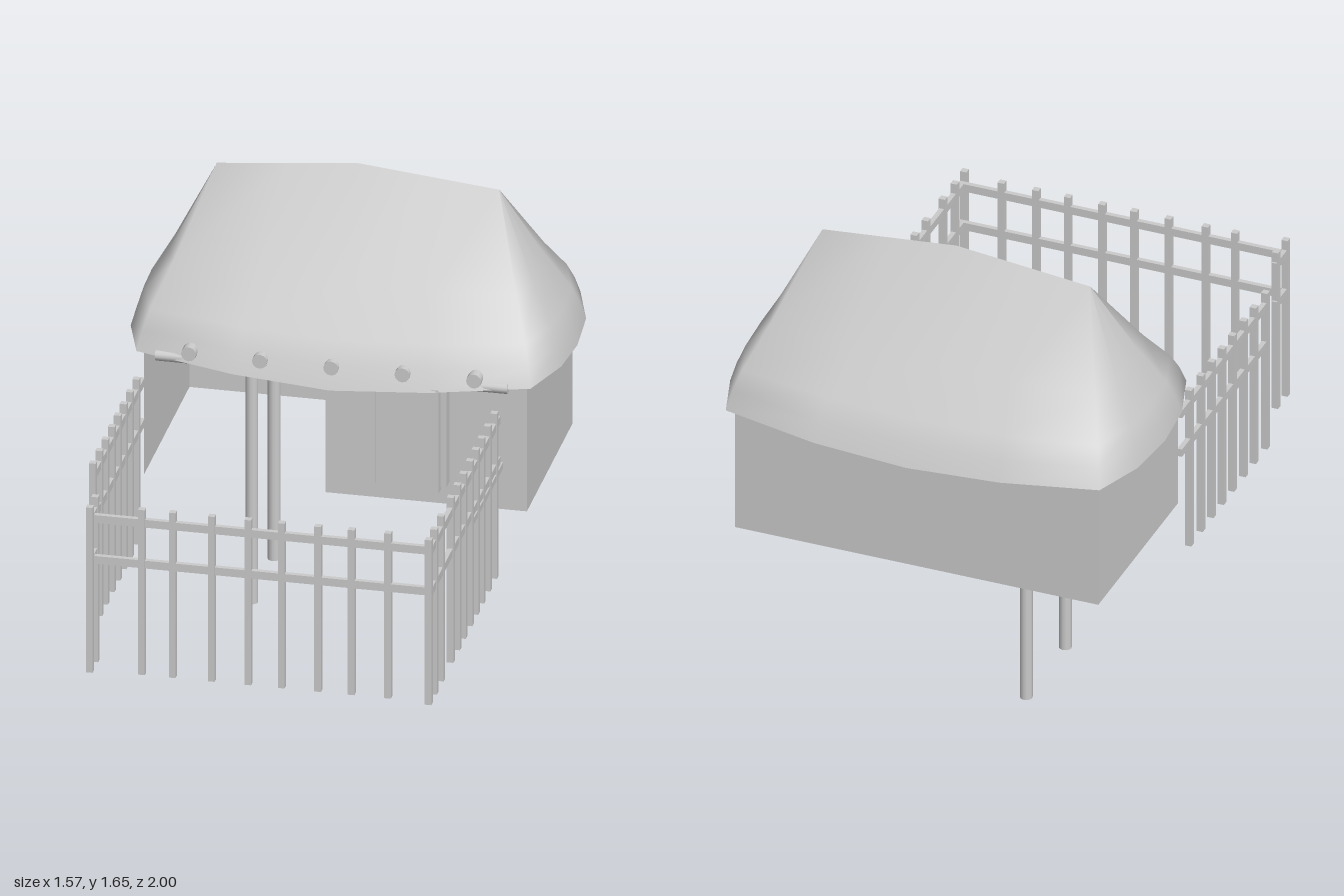
import * as THREE from 'three';

const grey = new THREE.MeshStandardMaterial({ color: 0xcccccc });
const thin = new THREE.MeshStandardMaterial({ color: 0xcccccc, side: THREE.DoubleSide });

function add(parent, name, geometry, x, y, z, material = grey) {
  const mesh = new THREE.Mesh(geometry, material);
  mesh.name = name;
  mesh.position.set(x, y, z);
  parent.add(mesh);
  return mesh;
}

// Box given by its two extreme corners
function block(parent, name, [x0, x1], [y0, y1], [z0, z1]) {
  return add(parent, name, new THREE.BoxGeometry(x1 - x0, y1 - y0, z1 - z0),
    (x0 + x1) / 2, (y0 + y1) / 2, (z0 + z1) / 2);
}

// Eave outline on the +x side, front middle to back middle: x, y, z
const halfEave = [
  [0, 0.99, -0.065], [0.35, 1.01, -0.08], [0.705, 1.04, -0.13], [0.77, 1.04, -0.33],
  [0.785, 1.035, -0.52], [0.77, 1.04, -0.73], [0.705, 1.045, -0.93], [0.35, 1.025, -0.985], [0, 1.01, -0.995],
];
const eave = [...halfEave, ...halfEave.slice(1, -1).reverse().map(([x, y, z]) => [-x, y, z])];

// One ring of the thatch: h and v are the fractions from eave to ridge
function ring(h, v, inner) {
  return eave.map(([x, y, z]) => {
    const side = Math.abs(x) > 0.7 ? 0.505 : Math.abs(x) * 0.74;
    const rx = Math.sign(x) * side;
    const ry = 1.655 - 0.1 * side - (inner ? 0.06 : 0);
    const k = inner ? 0.965 : 1;
    const ex = x * k, ez = -0.53 + (z + 0.53) * k, ey = y + (inner ? 0.004 : 0);
    return [ex + (rx - ex) * h, ey + (ry - ey) * v, ez + (-0.527 - ez) * h];
  });
}

// Surface joining closed rings
function loft(rings) {
  const n = rings[0].length, index = [];
  for (let j = 0; j < rings.length - 1; j++) {
    for (let i = 0; i < n; i++) {
      const a = j * n + i, b = j * n + (i + 1) % n;
      index.push(a, b, b + n, a, b + n, a + n);
    }
  }
  const g = new THREE.BufferGeometry();
  g.setAttribute('position', new THREE.Float32BufferAttribute(rings.flat(2), 3));
  g.setIndex(index);
  g.computeVertexNormals();
  return g;
}

function buildRoof() {
  const roof = new THREE.Group();
  roof.name = 'roof';
  const levels = [[0, 0], [0.07, 0.12], [0.17, 0.24], [0.45, 0.475], [1, 1]];
  add(roof, 'thatch', loft(levels.map(([h, v]) => ring(h, v, false))), 0, 0, 0);
  const under = levels.map(([h, v]) => ring(h, v, true)).reverse();
  add(roof, 'thatchUnderside', loft(under), 0, 0, 0);
  add(roof, 'eaveEdge', loft([ring(0, 0, true), ring(0, 0, false)]), 0, 0, 0, thin);
  return roof;
}

function buildHouse() {
  const house = new THREE.Group();
  house.name = 'house';
  const wall = (name, width, x, z, turn) => {
    add(house, name, new THREE.PlaneGeometry(width, 0.5), x, 0.8, z, thin).rotation.y = turn;
  };
  // Open bay on the right, closed room on the left
  wall('backWall', 1.37, 0, -0.892, Math.PI);
  wall('leftWall', 0.732, 0.685, -0.526, Math.PI / 2);
  wall('rightWall', 0.732, -0.685, -0.526, -Math.PI / 2);
  wall('frontWall', 0.72, 0.325, -0.16, 0);
  wall('dividingWall', 0.732, -0.035, -0.526, -Math.PI / 2);

  // Doorway
  block(house, 'doorPanel', [0.16, 0.385], [0.62, 1.02], [-0.135, -0.085]);
  block(house, 'doorJamb', [0.115, 0.155], [0.63, 1.02], [-0.155, -0.1]);
  block(house, 'doorJamb', [0.39, 0.41], [0.64, 1.02], [-0.155, -0.1]);

  // Stilts carrying the open bay
  for (const z of [-0.365, -0.725]) {
    add(house, 'stilt', new THREE.CylinderGeometry(0.023, 0.023, 1.1, 12), -0.345, 0.55, z);
  }

  // Eave log and the rafter ends resting on it
  add(house, 'eaveLog', new THREE.CylinderGeometry(0.02, 0.02, 1.26, 12), -0.005, 1.033, -0.13)
    .rotation.z = Math.PI / 2;
  for (let i = -2; i <= 2; i++) {
    const front = Math.abs(i) === 2 ? -0.09 : -0.085;
    add(house, 'rafter', new THREE.CylinderGeometry(0.027, 0.027, 0.74, 12), i * 0.255, 1.066, front - 0.37)
      .rotation.x = Math.PI / 2;
  }
  return house;
}

// Fence run along 'x' or 'z': pickets at the given stops, rails over a span
function fence(name, axis, at, stops, [from, to]) {
  const run = new THREE.Group();
  run.name = name;
  const place = (part, span, ys, half) => {
    const across = [at - half, at + half];
    return axis === 'x' ? block(run, part, span, ys, across) : block(run, part, across, ys, span);
  };
  for (const s of stops) place('picket', [s - 0.012, s + 0.012], [0.33, 0.967], 0.012);
  place('upperRail', [from, to], [0.899, 0.929], 0.009);
  place('lowerRail', [from, to], [0.741, 0.771], 0.009);
  return run;
}

function buildYard() {
  const yard = new THREE.Group();
  yard.name = 'yardFence';
  const shared = [0.635, 0.53, 0.435, 0.33, 0.235, 0.14, 0.04, -0.065];
  const left = fence('leftFence', 'z', 0.59, [0.988, 0.9, 0.79, ...shared], [-0.12, 1]);
  block(left, 'braceRail', [0.58, 0.6], [0.707, 0.732], [-0.16, 0.33]);
  yard.add(left);
  yard.add(fence('rightFence', 'z', -0.69, shared, [-0.155, 0.64]));
  yard.add(fence('frontFence', 'x', 0.967,
    [-0.44, -0.33, -0.19, -0.06, 0.06, 0.19, 0.31, 0.44], [-0.61, 0.6]));
  yard.add(fence('gateStub', 'z', -0.622, [0.988, 0.9], [0.88, 1]));
  return yard;
}

export function createModel() {
  const model = new THREE.Group();
  model.name = 'stiltHouse';
  model.add(buildRoof(), buildHouse(), buildYard());
  return model;
}
